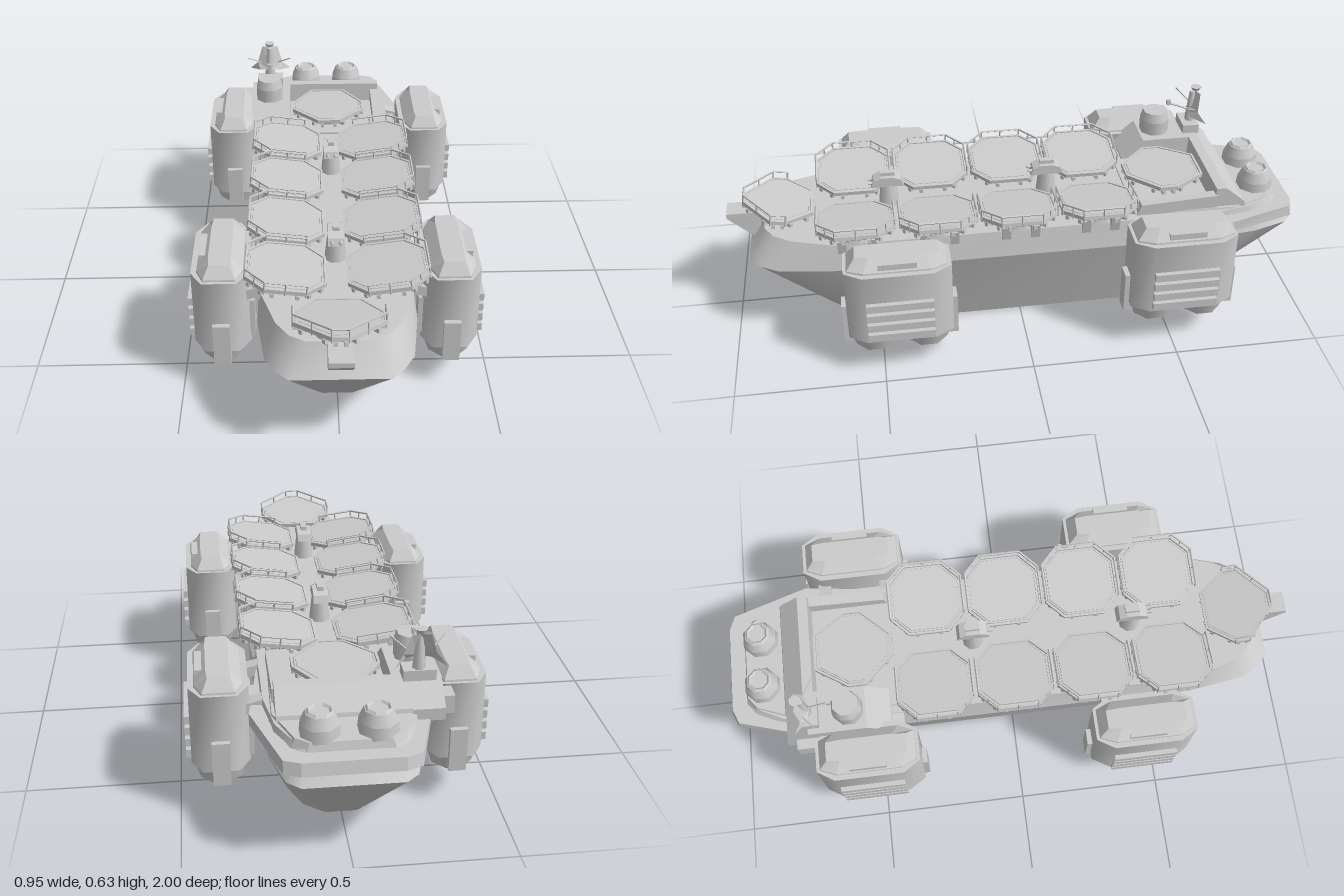
import * as THREE from 'three';
import { toCreasedNormals } from 'three/addons/utils/BufferGeometryUtils.js';

const mat = new THREE.MeshStandardMaterial({ color: 0xcccccc, flatShading: true });
const smooth = new THREE.MeshStandardMaterial({ color: 0xcccccc });
const thin = new THREE.MeshStandardMaterial({ color: 0xcccccc, flatShading: true, side: THREE.DoubleSide });

function add(parent, name, geo, x = 0, y = 0, z = 0, m = mat) {
  const mesh = new THREE.Mesh(geo, m);
  mesh.name = name;
  mesh.position.set(x, y, z);
  parent.add(mesh);
  return mesh;
}
const box = (p, name, w, h, d, x, y, z) => add(p, name, new THREE.BoxGeometry(w, h, d), x, y, z);
const cyl = (p, name, rt, rb, h, x, y, z, n = 8) =>
  add(p, name, new THREE.CylinderGeometry(rt, rb, h, n).rotateY(Math.PI / n), x, y, z, smooth);

// Round bar between two points
function bar(p, name, a, b, r = 0.004) {
  const A = new THREE.Vector3(...a), B = new THREE.Vector3(...b);
  const m = add(p, name, new THREE.CylinderGeometry(r, r, A.distanceTo(B), 4));
  m.position.copy(A).lerp(B, 0.5);
  m.quaternion.setFromUnitVectors(new THREE.Vector3(0, 1, 0), B.sub(A).normalize());
}

// Half outline (front to back) mirrored into a closed ring of [x, z]
const mirrorRing = half => [...half, ...half.slice().reverse().map(([x, z]) => [-x, z])];

// Solid through stacked rings {y, pts}, capped at both ends
function loft(rings) {
  const pos = [], n = rings[0].pts.length;
  const v = (r, i) => [r.pts[i % n][0], r.y, r.pts[i % n][1]];
  for (let k = 0; k < rings.length - 1; k++) {
    const a = rings[k], b = rings[k + 1];
    for (let i = 0; i < n; i++)
      pos.push(...v(a, i), ...v(a, i + 1), ...v(b, i + 1), ...v(a, i), ...v(b, i + 1), ...v(b, i));
  }
  const lo = rings[0], hi = rings[rings.length - 1];
  for (let i = 1; i < n - 1; i++)
    pos.push(...v(lo, 0), ...v(lo, i + 1), ...v(lo, i), ...v(hi, 0), ...v(hi, i), ...v(hi, i + 1));
  const g = new THREE.BufferGeometry();
  g.setAttribute('position', new THREE.Float32BufferAttribute(pos, 3));
  g.computeVertexNormals();
  return g;
}

// Side profile of [z, y] points swept across x0..x1
function sweepX(profile, x0, x1) {
  const s = new THREE.Shape(profile.map(([z, y]) => new THREE.Vector2(-z, y)));
  return new THREE.ExtrudeGeometry(s, { depth: x1 - x0, bevelEnabled: false }).rotateY(Math.PI / 2).translate(x0, 0, 0);
}

const scaled = (pts, k) => pts.map(([x, z]) => [x * k, z * k]);

// Landing pad: pedestal, plate, double frame, brackets and railing on the chosen edges
function pad(parent, half, x, y, z, railed) {
  const g = new THREE.Group();
  g.name = 'landingPad';
  g.position.set(x, y, z);
  parent.add(g);
  const pts = mirrorRing(half), n = pts.length;
  add(g, 'padPlate', loft([{ y: -0.022, pts: scaled(pts, 0.78) }, { y: -0.005, pts: scaled(pts, 0.88) }, { y: 0.008, pts: scaled(pts, 0.88) }]));
  cyl(g, 'padPedestal', 0.07, 0.075, 0.04, 0, -0.036, 0);
  for (let i = 0; i < n; i++) {
    const a = pts[i], b = pts[(i + 1) % n];
    const mx = (a[0] + b[0]) / 2, mz = (a[1] + b[1]) / 2;
    const len = Math.hypot(b[0] - a[0], b[1] - a[1]), ang = Math.atan2(-(b[1] - a[1]), b[0] - a[0]);
    box(g, 'outerFrame', len, 0.014, 0.008, mx * 0.98, 0.002, mz * 0.98).rotation.y = ang;
    box(g, 'innerFrame', len * 0.92, 0.014, 0.006, mx * 0.91, 0, mz * 0.91).rotation.y = ang;
    for (const t of [-0.3, 0.3])
      box(g, 'padBracket', 0.012, 0.014, 0.035, mx * 0.88 + (b[0] - a[0]) * t, -0.014, mz * 0.88 + (b[1] - a[1]) * t).rotation.y = ang;
    if (!railed(mx, mz)) continue;
    const P = (t, h) => [a[0] + (b[0] - a[0]) * t, h, a[1] + (b[1] - a[1]) * t];
    bar(g, 'topRail', P(0, 0.033), P(1, 0.033));
    for (const t of len > 0.08 ? [0, 0.5, 1] : [0, 1]) bar(g, 'railPost', P(t, -0.01), P(t, 0.033), 0.003);
  }
  return g;
}

// Side thruster pod, local +x pointing outward
function pod(parent, side, y, z) {
  const g = new THREE.Group();
  g.name = 'thrusterPod';
  g.position.set(side * 0.367, y, z);
  if (side < 0) g.rotation.y = Math.PI;
  parent.add(g);
  const ring = (w, d, cw, cd) => mirrorRing([[cw, d], [w, cd], [w, -cd], [cw, -d]]);
  const plan = ring(0.092, 0.175, 0.055, 0.115);
  add(g, 'podBody', toCreasedNormals(loft([{ y: 0.14, pts: plan }, { y: 0.406, pts: plan }]), 1.1), 0, 0, 0, smooth);
  add(g, 'podRoof', loft([
    { y: 0.4, pts: ring(0.075, 0.165, 0.052, 0.11) },
    { y: 0.412, pts: ring(0.073, 0.163, 0.05, 0.11) },
    { y: 0.448, pts: ring(0.036, 0.135, 0.032, 0.09) },
  ]));
  box(g, 'roofVent', 0.03, 0.03, 0.125, 0.054, 0.422, 0);
  box(g, 'strut', 0.2, 0.09, 0.14, -0.15, 0.255, 0);
  box(g, 'innerPlate', 0.02, 0.14, 0.24, -0.095, 0.23, 0);
  for (const s of [-1, 1]) {
    cyl(g, 'thrusterNozzle', 0.088, 0.07, 0.055, 0, 0.1125, s * 0.088);
    box(g, 'endBox', 0.055, 0.15, 0.04, 0, 0.175, s * 0.172);
    box(g, 'upperStrut', 0.07, 0.035, 0.045, -0.105, 0.337, s * 0.11).rotation.z = -0.25;
  }
  for (let i = 0; i < 4; i++) box(g, 'louvre', 0.03, 0.027, 0.22, 0.093, 0.17 + i * 0.04, 0);
}

export function createModel() {
  const ship = new THREE.Group();
  ship.name = 'carrierShip';

  // Hull, smooth sided with sharp knuckle and bottom edges
  const bottom = mirrorRing([[0.05, 0.66], [0.11, 0.61], [0.155, 0.52], [0.18, 0.38], [0.18, -0.42], [0.16, -0.57], [0.115, -0.67], [0.05, -0.72]]);
  const knuckle = mirrorRing([[0.15, 0.93], [0.19, 0.89], [0.225, 0.83], [0.25, 0.65], [0.25, -0.65], [0.23, -0.83], [0.19, -0.96], [0.15, -0.995]]);
  const rim = mirrorRing([[0.1, 0.87], [0.15, 0.84], [0.19, 0.78], [0.235, 0.64], [0.235, -0.65], [0.21, -0.8], [0.17, -0.88], [0.13, -0.91]]);
  add(ship, 'lowerHull', toCreasedNormals(loft([{ y: 0, pts: bottom }, { y: 0.29, pts: knuckle }]), 0.72), 0, 0, 0, smooth);
  add(ship, 'upperHull', toCreasedNormals(loft([{ y: 0.29, pts: knuckle }, { y: 0.385, pts: rim }]), 0.72), 0, 0, 0, smooth);
  add(ship, 'bowBlock', sweepX([[1, 0.41], [1, 0.393], [0.92, 0.318], [0.83, 0.318], [0.83, 0.41]], -0.037, 0.037));

  // Stern decks
  add(ship, 'sternDeck', loft([
    { y: 0.325, pts: mirrorRing([[0.24, -0.38], [0.28, -0.7], [0.2, -0.97], [0.15, -0.99]]) },
    { y: 0.365, pts: mirrorRing([[0.235, -0.38], [0.28, -0.7], [0.2, -0.96], [0.15, -0.98]]) },
  ]));
  add(ship, 'upperSternDeck', loft([
    { y: 0.36, pts: mirrorRing([[0.215, -0.4], [0.225, -0.75], [0.17, -0.9], [0.13, -0.93]]) },
    { y: 0.392, pts: mirrorRing([[0.205, -0.4], [0.215, -0.75], [0.16, -0.89], [0.12, -0.92]]) },
  ]));

  // Deckhouse behind the stern pad, tower base and coaming beside it
  add(ship, 'deckhouse', sweepX([[-0.68, 0.37], [-0.685, 0.465], [-0.72, 0.465], [-0.79, 0.405], [-0.8, 0.37]], -0.2, 0.205));
  add(ship, 'towerBase', sweepX([[-0.43, 0.36], [-0.43, 0.4], [-0.51, 0.465], [-0.71, 0.465], [-0.79, 0.4], [-0.79, 0.36]], -0.3, -0.15));
  add(ship, 'coaming', sweepX([[-0.4, 0.37], [-0.42, 0.425], [-0.69, 0.44], [-0.69, 0.37]], 0.175, 0.21));
  box(ship, 'sideLocker', 0.04, 0.06, 0.07, -0.315, 0.39, -0.72);

  // Stern turrets
  for (const s of [-1, 1]) {
    const t = new THREE.Group();
    t.name = 'sternTurret';
    t.position.set(s * 0.085, 0, -0.865);
    ship.add(t);
    cyl(t, 'turretDrum', 0.06, 0.064, 0.04, 0, 0.405, 0);
    cyl(t, 'turretTop', 0.045, 0.06, 0.035, 0, 0.4425, 0);
    add(t, 'turretRing', new THREE.TorusGeometry(0.036, 0.008, 4, 8).rotateX(Math.PI / 2).rotateY(Math.PI / 8), 0, 0.459, 0);
  }

  // Paired pads tilted up outward, with side braces
  const oct = [[0.065, 0.13], [0.127, 0.07], [0.127, -0.07], [0.065, -0.13]];
  for (const z of [-0.27, 0.007, 0.283, 0.56]) for (const s of [-1, 1]) {
    pad(ship, oct, s * 0.16, 0.426, z, mx => mx * s > -0.02).rotation.z = s * 0.13;
    for (const dz of [-0.05, 0.05])
      box(ship, 'padBrace', 0.035, 0.055, 0.03, s * 0.235, 0.388, z + dz).rotation.z = -s * 0.2;
  }

  // Bow pad tilted up forward, and level stern pad
  pad(ship, [[0.025, 0.125], [0.137, 0.03], [0.137, -0.02], [0.07, -0.11]], 0, 0.424, 0.815, (mx, mz) => mz > -0.02)
    .rotation.x = -0.16;
  pad(ship, [[0.04, 0.13], [0.137, 0.03], [0.137, -0.03], [0.065, -0.14]], 0, 0.435, -0.535, () => false);

  // Gun mounts between the pads
  for (const z of [-0.12, 0.44]) {
    const gun = new THREE.Group();
    gun.name = 'deckGun';
    gun.position.z = z;
    ship.add(gun);
    cyl(gun, 'gunPedestal', 0.028, 0.038, 0.09, 0, 0.425, 0);
    add(gun, 'gunHousing', sweepX([[-0.055, 0.465], [-0.045, 0.49], [-0.02, 0.5], [0.025, 0.5], [0.05, 0.488], [0.06, 0.465]], -0.026, 0.026));
    box(gun, 'gunSight', 0.022, 0.02, 0.05, 0, 0.503, 0);
    for (const s of [-1, 1]) bar(gun, 'gunBarrel', [s * 0.014, 0.478, 0.04], [s * 0.014, 0.478, 0.07], 0.006);
  }

  // Control tower
  cyl(ship, 'towerDrum', 0.054, 0.054, 0.055, -0.23, 0.4875, -0.57);
  cyl(ship, 'towerCap', 0.045, 0.054, 0.033, -0.23, 0.531, -0.57);

  // Radar mast with a pair of swept reflector panels
  const mast = new THREE.Group();
  mast.name = 'radarMast';
  mast.position.set(-0.23, 0, -0.7);
  ship.add(mast);
  box(mast, 'mastFoot', 0.1, 0.035, 0.06, 0, 0.48, 0);
  cyl(mast, 'mastPost', 0.01, 0.022, 0.13, 0, 0.55, -0.008, 6);
  cyl(mast, 'mastCap', 0.02, 0.014, 0.012, 0, 0.627, -0.02, 8);
  for (const s of [-1, 1]) {
    const p = [[0, 0.615, -0.02], [s * 0.03, 0.615, -0.03], [0, 0.53, 0.01], [s * 0.05, 0.55, -0.02], [s * 0.08, 0.515, -0.045], [s * 0.04, 0.525, 0]];
    const g = new THREE.BufferGeometry();
    g.setAttribute('position', new THREE.Float32BufferAttribute(p.flat(), 3));
    g.setIndex([0, 2, 1, 1, 2, 3, 2, 5, 3, 3, 5, 4]);
    g.computeVertexNormals();
    add(mast, 'reflectorPanel', g, 0, 0, 0, thin);
    bar(mast, 'sideAerial', [s * 0.035, 0.555, -0.01], [s * 0.083, 0.588, 0.03], 0.003);
  }
  bar(mast, 'feedArm', [0, 0.54, 0], [0, 0.575, 0.085]);
  box(mast, 'feedHorn', 0.014, 0.02, 0.014, 0, 0.575, 0.08);

  // Thruster pods
  for (const s of [-1, 1]) {
    pod(ship, s, 0, 0.435);
    pod(ship, s, 0.02, -0.52);
  }
  return ship;
}
